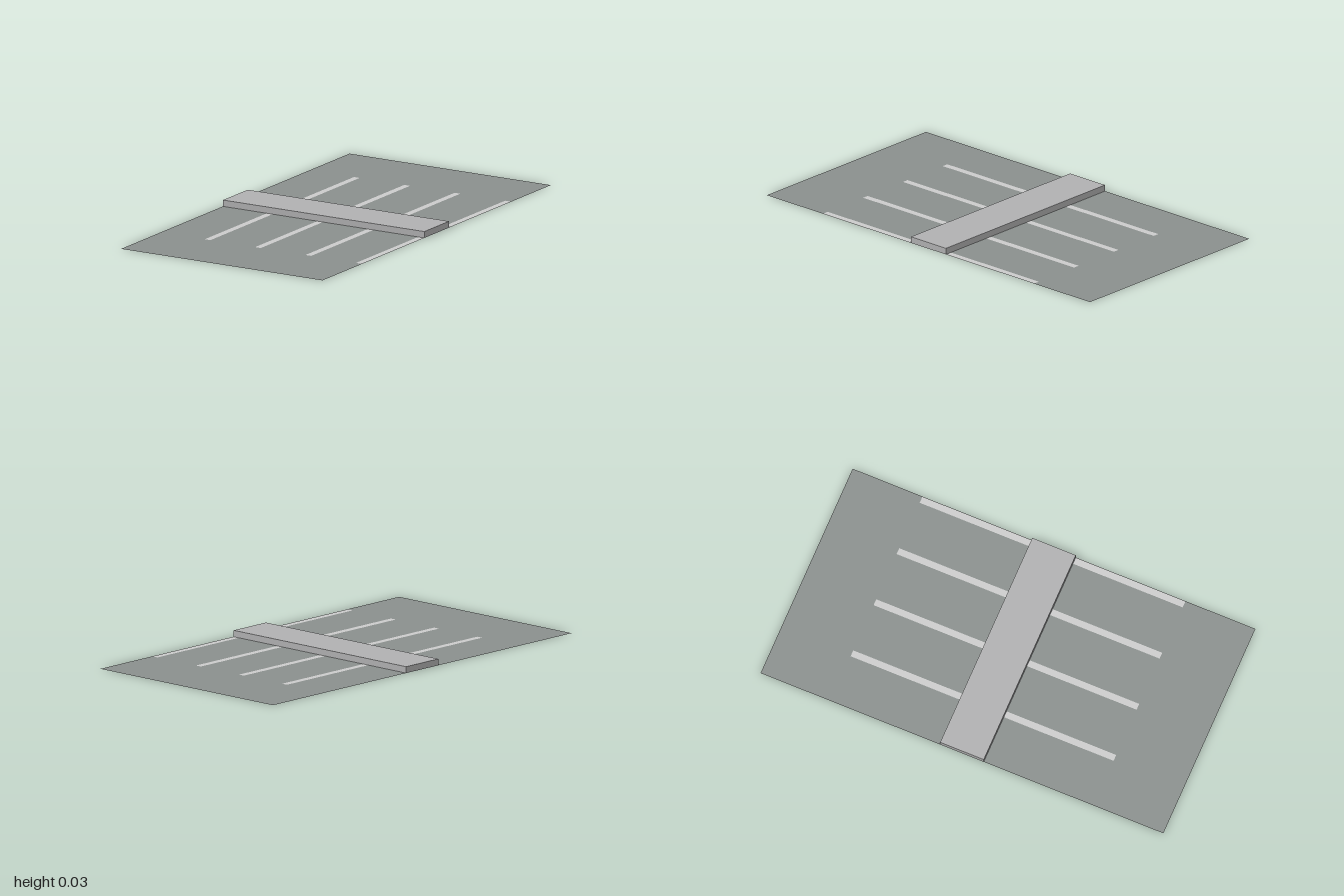
import * as THREE from 'three';

const HALF_W = 0.54;    // half width of the lot
const WALK_Z = 0.108;   // half depth of the walkway
const LINE_END = 0.653; // where the bay lines stop
const LINE_W = 0.031;
const LINES = [-0.304, -0.034, 0.236, 0.507]; // left edge of each bay line

const mat = (color) => new THREE.MeshStandardMaterial({ color, side: THREE.DoubleSide });

// Flat ground tile spanning x0..x1 and z0..z1
function tile(name, material, x0, x1, z0, z1) {
  const geo = new THREE.PlaneGeometry(x1 - x0, z1 - z0).rotateX(-Math.PI / 2);
  const mesh = new THREE.Mesh(geo, material);
  mesh.position.set((x0 + x1) / 2, 0, (z0 + z1) / 2);
  mesh.name = name;
  return mesh;
}

export function createModel() {
  const model = new THREE.Group();
  model.name = 'parkingLot';
  const asphalt = mat(0x8a8f8d);
  const paint = mat(0xcccccc);
  const concrete = mat(0xb0b0b1);

  // Raised walkway between the two rows of bays
  const walkway = new THREE.Mesh(new THREE.BoxGeometry(HALF_W * 2, 0.03, WALK_Z * 2), concrete);
  walkway.position.y = 0.015;
  walkway.name = 'walkway';
  model.add(walkway);

  // One row of bays on each side: lines set flush into the asphalt
  for (const side of [1, -1]) {
    const row = new THREE.Group();
    row.name = side > 0 ? 'frontBays' : 'backBays';
    const add = (name, material, x0, x1, a, b) => {
      const [z0, z1] = side > 0 ? [a, b] : [-b, -a];
      row.add(tile(name, material, x0, x1, z0, z1));
    };
    let x = -HALF_W;
    for (const lineX of LINES) {
      const end = Math.min(lineX + LINE_W, HALF_W);
      add('bayAsphalt', asphalt, x, lineX, WALK_Z, LINE_END);
      add('bayLine', paint, lineX, end, WALK_Z, LINE_END);
      x = end;
    }
    if (x < HALF_W) add('bayAsphalt', asphalt, x, HALF_W, WALK_Z, LINE_END);
    add('drivewayAsphalt', asphalt, -HALF_W, HALF_W, LINE_END, 1);
    model.add(row);
  }
  return model;
}
